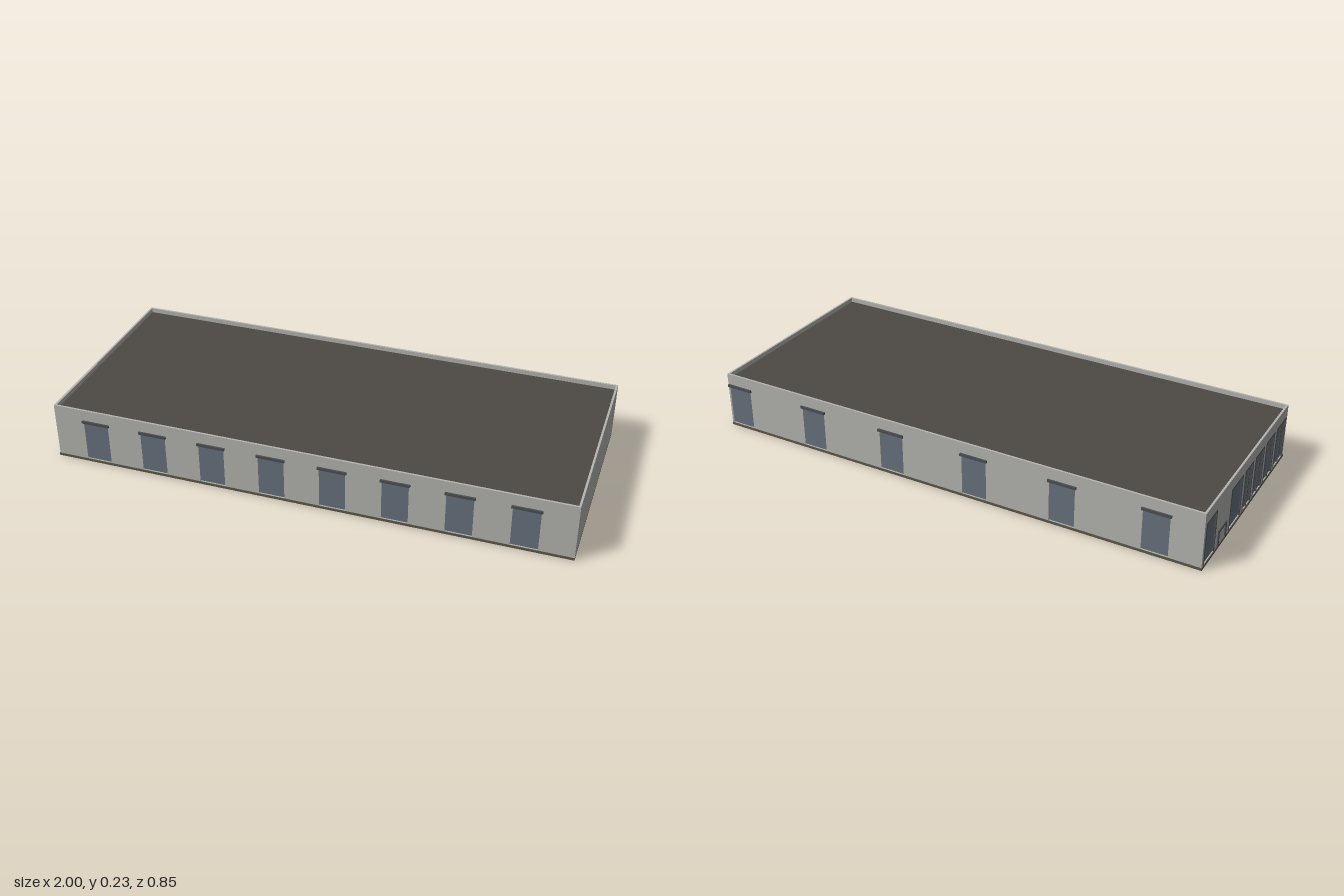
import * as THREE from 'three';

const mat = (color) => new THREE.MeshStandardMaterial({ color, roughness: 0.9, flatShading: true });

export function createModel() {
  const wallMat = mat(0xb4b4b0), roofMat = mat(0x4d4a45), slabMat = mat(0x5c5748);
  const glassMat = mat(0x67737e), trimMat = mat(0x4b4e52);
  const model = new THREE.Group();

  const HX = 0.996, HZ = 0.418, BASE = 0.008, TOP = 0.226, T = 0.008;

  function box(parent, name, w, h, d, x, y, z, material) {
    const m = new THREE.Mesh(new THREE.BoxGeometry(w, h, d), material);
    m.name = name;
    m.position.set(x, y, z);
    parent.add(m);
    return m;
  }

  // Wall with rectangular openings [u0, u1, y0, y1]; its outer face lies on local z = 0
  function wall(name, half, openings) {
    const g = new THREE.Group();
    g.name = name;
    const s = new THREE.Shape();
    s.moveTo(-half, BASE).lineTo(half, BASE).lineTo(half, TOP).lineTo(-half, TOP).closePath();
    for (const [a, b, c, d] of openings) {
      const p = new THREE.Path();
      p.moveTo(a, c).lineTo(a, d).lineTo(b, d).lineTo(b, c).closePath();
      s.holes.push(p);
    }
    const geo = new THREE.ExtrudeGeometry(s, { depth: T, bevelEnabled: false });
    geo.translate(0, 0, -T);
    const m = new THREE.Mesh(geo, wallMat);
    m.name = name + 'Panel';
    g.add(m);
    model.add(g);
    return g;
  }

  // Floor slab, sunken roof and thin parapet lip
  box(model, 'floorSlab', 2 * HX + 0.004, 0.01, 2 * HZ + 0.003, 0, 0.005, 0, slabMat);
  box(model, 'roof', 2 * HX - 0.004, 0.01, 2 * HZ - 0.004, 0, 0.203, 0, roofMat);

  // Long walls with recessed dock doors under small canopies
  function dockWall(name, xs) {
    const g = wall(name, HX, xs.map((x) => [x - 0.05, x + 0.05, 0.0115, 0.176]));
    for (const x of xs) {
      box(g, 'dockDoor', 0.1, 0.166, 0.002, x, 0.093, -0.0055, glassMat);
      box(g, 'canopy', 0.11, 0.01, 0.012, x, 0.177, 0.001, trimMat);
    }
    return g;
  }
  const frontXs = Array.from({ length: 8 }, (_, i) => -0.825 + i * 0.235);
  const backXs = Array.from({ length: 6 }, (_, i) => 0.825 - i * 0.353);
  dockWall('frontWall', frontXs).position.z = HZ;
  const back = dockWall('backWall', backXs);
  back.position.z = -HZ;
  back.rotation.y = Math.PI;

  // Plain right-hand end wall
  const plain = wall('plainEndWall', HZ, []);
  plain.position.x = HX + 0.002;
  plain.rotation.y = Math.PI / 2;

  // Glazed end wall: u runs from the back corner to the front corner
  const panes = [
    [-0.405, -0.305, 0.012, 0.18],
    [-0.17, -0.055, 0.012, 0.18],
    [-0.035, 0.05, 0.012, 0.18],
    [0.07, 0.165, 0.012, 0.18],
    [0.185, 0.28, 0.012, 0.18],
    [0.3, 0.405, 0.012, 0.18],
  ];
  const shop = wall('glazedEndWall', HZ, panes);
  shop.position.x = -HX;
  shop.rotation.y = -Math.PI / 2;
  panes.forEach(([a, b, c, d], i) => {
    const u = (a + b) / 2, h = d - c;
    box(shop, 'glassPane', b - a, h, 0.002, u, (c + d) / 2, -0.005, glassMat);
    for (const e of [a + 0.003, b - 0.003]) box(shop, 'windowFrame', 0.006, h, 0.006, e, (c + d) / 2, -0.002, trimMat);
    box(shop, 'windowHead', b - a, 0.005, 0.006, u, d - 0.0025, -0.002, trimMat);
    // Centre mullions on the entrance bays
    if (i > 1) box(shop, 'mullion', 0.004, h, 0.005, u, (c + d) / 2, -0.002, trimMat);
  });

  // Low rail beside the entrance
  for (const u of [-0.275, -0.205]) box(shop, 'railPost', 0.008, 0.06, 0.004, u, 0.04, 0.002, trimMat);
  box(shop, 'railBar', 0.078, 0.008, 0.004, -0.24, 0.07, 0.002, trimMat);

  return model;
}
